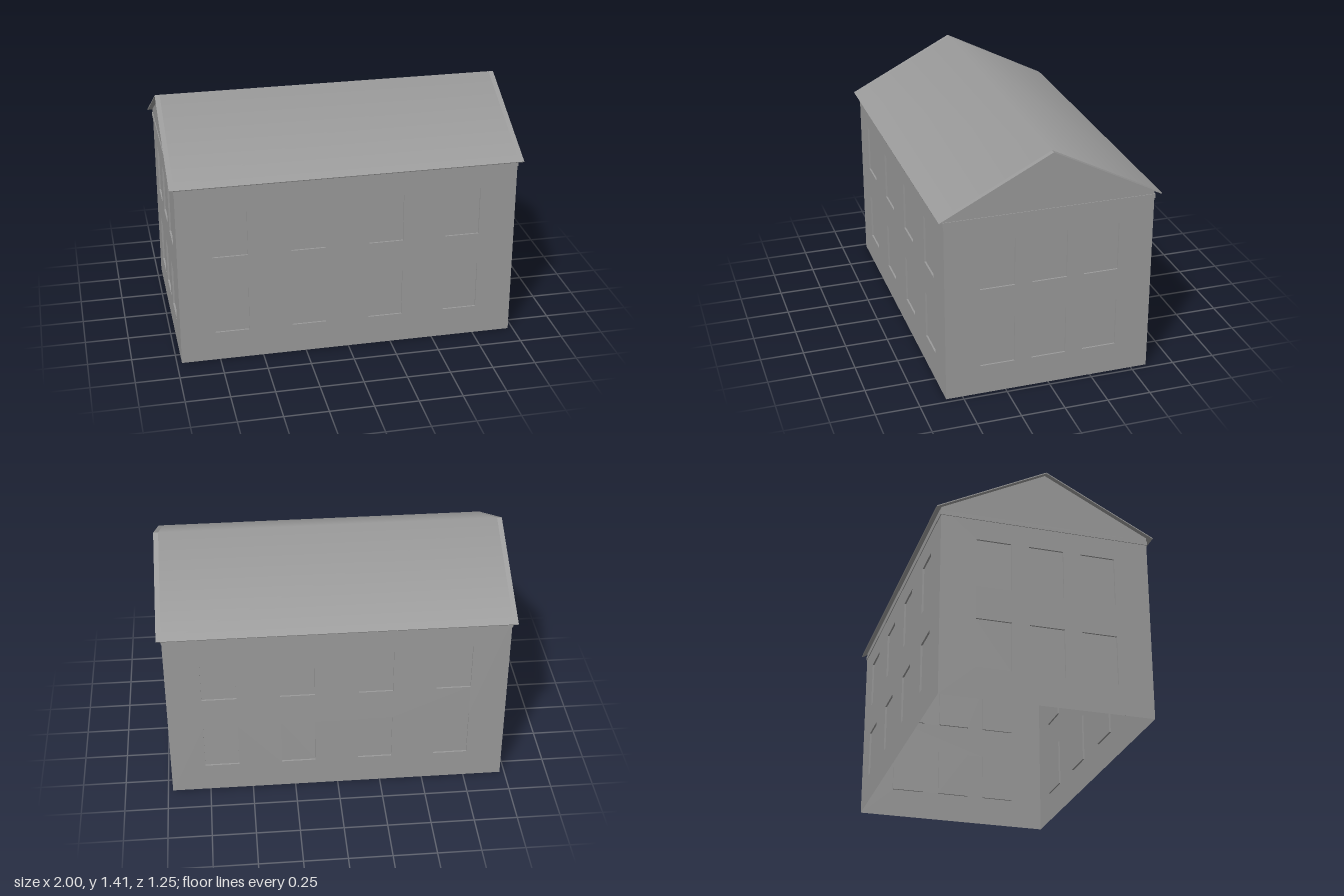
import * as THREE from 'three';

const HX = 0.972, HZ = 0.594;           // wall half extents
const RIDGE = 1.411, SLOPE = 0.512;     // roof line
const ROOF_X = 1, ROOF_Z = 0.625, THICK = 0.006;
const WIN_W = 0.197, WIN_H = 0.283, RECESS = 0.01;
const WIN_Y = [0.317, 0.792];           // window centre heights
const BAND_Y = 1.067, BAND_H = 0.025, BAND_OUT = 0.004;

const material = new THREE.MeshStandardMaterial({ color: 0x9a9a9a, side: THREE.DoubleSide });

function mesh(geometry, name) {
  const m = new THREE.Mesh(geometry, material);
  m.name = name;
  return m;
}

// Recessed pane: a shallow box whose outer (+z) face is left open
function paneGeometry() {
  const g = new THREE.BoxGeometry(WIN_W, WIN_H, RECESS);
  const index = Array.from(g.index.array);
  index.splice(24, 6);
  g.setIndex(index);
  g.translate(0, 0, -RECESS / 2);
  return g;
}

// Wall sheet in the xy plane, facing +z, with window openings, panes and a flat band under the eaves
function wall(outline, columns, name) {
  const group = new THREE.Group();
  group.name = name;
  const shape = new THREE.Shape(outline.map(([x, y]) => new THREE.Vector2(x, y)));
  const w = WIN_W / 2, h = WIN_H / 2;
  for (const x of columns) {
    for (const y of WIN_Y) {
      shape.holes.push(new THREE.Path([
        new THREE.Vector2(x - w, y - h), new THREE.Vector2(x - w, y + h),
        new THREE.Vector2(x + w, y + h), new THREE.Vector2(x + w, y - h),
      ]));
      const pane = mesh(paneGeometry(), 'window');
      pane.position.set(x, y, 0);
      group.add(pane);
    }
  }
  const width = 2 * (outline[1][0] + BAND_OUT);
  const band = mesh(new THREE.BoxGeometry(width, BAND_H, BAND_OUT), 'eavesBand');
  band.position.set(0, BAND_Y, BAND_OUT / 2);
  group.add(mesh(new THREE.ShapeGeometry(shape), 'wallSheet'), band);
  return group;
}

export function createModel() {
  const house = new THREE.Group();
  house.name = 'house';

  const eaveY = RIDGE - THICK / 2 - SLOPE * HZ;
  const longOutline = [[-HX, 0], [HX, 0], [HX, eaveY], [-HX, eaveY]];
  const gableOutline = [[-HZ, 0], [HZ, 0], [HZ, eaveY], [0, RIDGE - THICK / 2], [-HZ, eaveY]];
  const longColumns = [-0.675, -0.23, 0.217, 0.663];
  const gableColumns = [-0.297, 0, 0.297];

  // Each pass builds one long wall and one gable, turned half round for the other pair
  for (const [turn, longName, gableName] of [[0, 'frontWall', 'leftGable'], [Math.PI, 'backWall', 'rightGable']]) {
    const half = new THREE.Group();
    half.name = turn ? 'backHalf' : 'frontHalf';
    half.rotation.y = turn;

    const long = wall(longOutline, longColumns, longName);
    long.position.z = HZ;

    const gable = wall(gableOutline, gableColumns, gableName);
    gable.rotation.y = Math.PI / 2;
    gable.position.x = HX;

    half.add(long, gable);
    house.add(half);
  }

  // Thin folded roof slab with overhangs, its eaves cut square to the slope
  const eave = RIDGE - SLOPE * ROOF_Z;
  const cut = THICK * SLOPE / (1 + SLOPE * SLOPE);
  const under = ROOF_Z - cut;
  const underY = RIDGE - THICK - SLOPE * under;
  const slab = new THREE.Shape([
    [-ROOF_Z, eave], [-under, underY], [0, RIDGE - THICK],
    [under, underY], [ROOF_Z, eave], [0, RIDGE],
  ].map(([z, y]) => new THREE.Vector2(z, y)));
  const slabGeometry = new THREE.ExtrudeGeometry(slab, { depth: 2 * ROOF_X, bevelEnabled: false });
  slabGeometry.translate(0, 0, -ROOF_X);
  slabGeometry.rotateY(Math.PI / 2);
  house.add(mesh(slabGeometry, 'roofSlab'));

  // Roof covering, softly shaded: normals point up at the ridge and square to the slope at the eaves
  const cover = new THREE.PlaneGeometry(2 * HX, 2 * ROOF_Z, 1, 2);
  cover.rotateX(-Math.PI / 2);
  const { position, normal } = cover.attributes;
  const length = Math.hypot(1, SLOPE);
  for (let i = 0; i < position.count; i++) {
    const side = Math.round(position.getZ(i) / ROOF_Z);
    position.setY(i, RIDGE + 0.001 - SLOPE * ROOF_Z * Math.abs(side));
    if (side) normal.setXYZ(i, 0, 1 / length, side * SLOPE / length);
  }
  house.add(mesh(cover, 'roofCovering'));

  return house;
}
